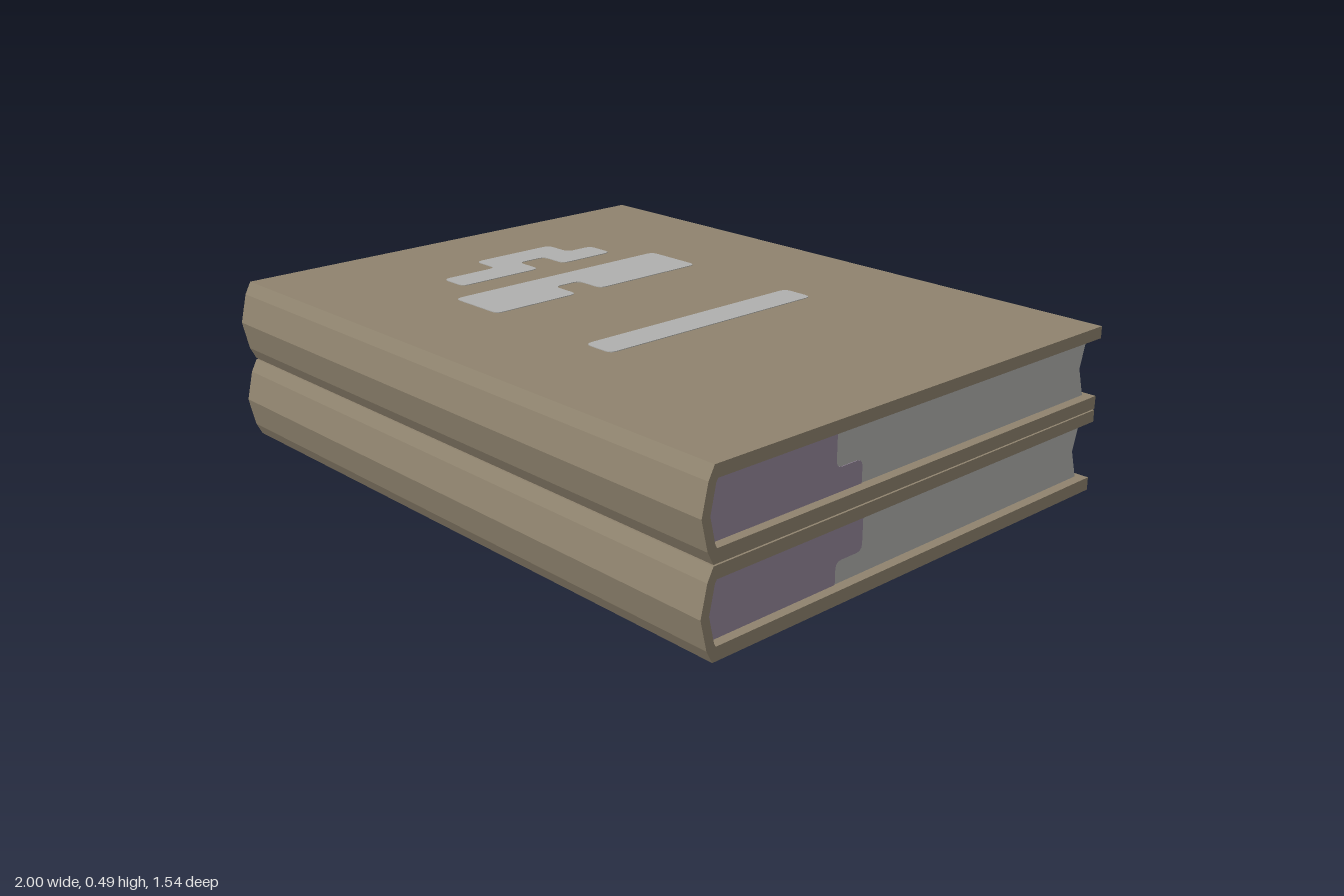
import * as THREE from 'three';

const coverMat = new THREE.MeshStandardMaterial({ name: 'brown cover', color: 0x8f836e });
const pageMat = new THREE.MeshStandardMaterial({ name: 'grey paper', color: 0xb0b0ae });
const shadeMat = new THREE.MeshStandardMaterial({ name: 'mauve paper', color: 0x95879a });

const HEIGHT = 0.243, STEP = 0.247, PAGE_END = 0.97;
const LOW = 0.038, HIGH = 0.208, MID = 0.1215;

// Closed outline whose corners are rounded by r
function outline(points, r = 0) {
  const p = points.map(([x, y]) => new THREE.Vector2(x, y));
  const shape = new THREE.Shape();
  if (!r) return shape.setFromPoints(p);
  p.forEach((c, i) => {
    const toward = (q) => q.clone().sub(c).setLength(r).add(c);
    const a = toward(p[(i + p.length - 1) % p.length]);
    const b = toward(p[(i + 1) % p.length]);
    if (i) shape.lineTo(a.x, a.y); else shape.moveTo(a.x, a.y);
    shape.quadraticCurveTo(c.x, c.y, b.x, b.y);
  });
  shape.closePath();
  return shape;
}

// Sweep a (z, y) profile along x, from x0 to x1
function sweep(name, shape, x0, x1, material) {
  const g = new THREE.ExtrudeGeometry(shape, { depth: x1 - x0, bevelEnabled: false, curveSegments: 3 });
  g.rotateY(-Math.PI / 2).translate(x1, 0, 0);
  const mesh = new THREE.Mesh(g, material);
  mesh.name = name;
  return mesh;
}

// C-shaped cover with a faceted spine at +z
const coverProfile = [
  [-0.772, 0], [0.733, 0], [0.752, 0.036], [0.772, MID], [0.752, 0.207], [0.733, HEIGHT],
  [-0.772, HEIGHT], [-0.772, HIGH], [0.722, HIGH], [0.728, 0.198], [0.745, MID],
  [0.728, 0.048], [0.722, LOW], [-0.772, LOW],
];
// Page block, hollowed along the fore edge
const pageProfile = [
  [-0.75, LOW], [0.722, LOW], [0.728, 0.048], [0.745, MID], [0.728, 0.198],
  [0.722, HIGH], [-0.75, HIGH], [-0.725, MID],
];
// Front end of the page block, shared by the mauve patches
const patchFront = [[0.722, LOW], [0.728, 0.048], [0.745, MID], [0.728, 0.198], [0.722, HIGH]];

// Stepped mauve patch: reaches zTop above the step and zLow below it
function patchShape(zTop, zLow, yStep) {
  const r = 0.02, s = Math.sign(zLow - zTop);
  const shape = outline([...patchFront, [zTop, HIGH]]);
  shape.lineTo(zTop, yStep + r);
  shape.quadraticCurveTo(zTop, yStep, zTop + s * r, yStep);
  shape.lineTo(zLow - s * r, yStep);
  shape.quadraticCurveTo(zLow, yStep, zLow, yStep - r);
  shape.lineTo(zLow, LOW);
  shape.closePath();
  return shape;
}

function book(name, rightPatch, leftPatch) {
  const g = new THREE.Group();
  g.name = name;
  g.add(
    sweep('cover', outline(coverProfile), -1, 1, coverMat),
    sweep('pages', outline(pageProfile), -PAGE_END, PAGE_END, pageMat),
    sweep('rightPagePatch', patchShape(...rightPatch), PAGE_END, PAGE_END + 0.002, shadeMat),
    sweep('leftPagePatch', patchShape(...leftPatch), -PAGE_END - 0.002, -PAGE_END, shadeMat),
  );
  return g;
}

// Inlaid decorative panels, as (x, z) outlines
const panels = {
  slimPanel: [[0.157, -0.392], [0.26, -0.392], [0.26, 0.388], [0.157, 0.388]],
  widePanel: [[-0.426, -0.392], [-0.228, -0.392], [-0.228, 0], [-0.328, 0],
    [-0.328, 0.093], [-0.228, 0.093], [-0.228, 0.388], [-0.426, 0.388]],
  steppedPanel: [[-0.62, -0.295], [-0.522, -0.295], [-0.522, -0.1], [-0.618, -0.1],
    [-0.618, 0], [-0.522, 0], [-0.522, 0.29], [-0.62, 0.29], [-0.62, 0.093],
    [-0.718, 0.093], [-0.718, -0.2], [-0.62, -0.2]],
};

export function createModel() {
  const model = new THREE.Group();
  model.name = 'bookStack';

  const lower = book('lowerBook', [0.185, 0.283, 0.1], [0.2, 0.27, 0.12]);
  const upper = book('upperBook', [0.293, 0.197, 0.103], [0.34, 0.32, 0.1]);
  upper.position.y = STEP;

  for (const [name, pts] of Object.entries(panels)) {
    const shape = outline(pts.map(([x, z]) => [x, -z]), 0.022);
    const g = new THREE.ExtrudeGeometry(shape, { depth: 0.003, bevelEnabled: false, curveSegments: 3 });
    g.rotateX(-Math.PI / 2).translate(0, HEIGHT - 0.001, 0);
    const mesh = new THREE.Mesh(g, pageMat);
    mesh.name = name;
    upper.add(mesh);
  }

  model.add(lower, upper);
  return model;
}
